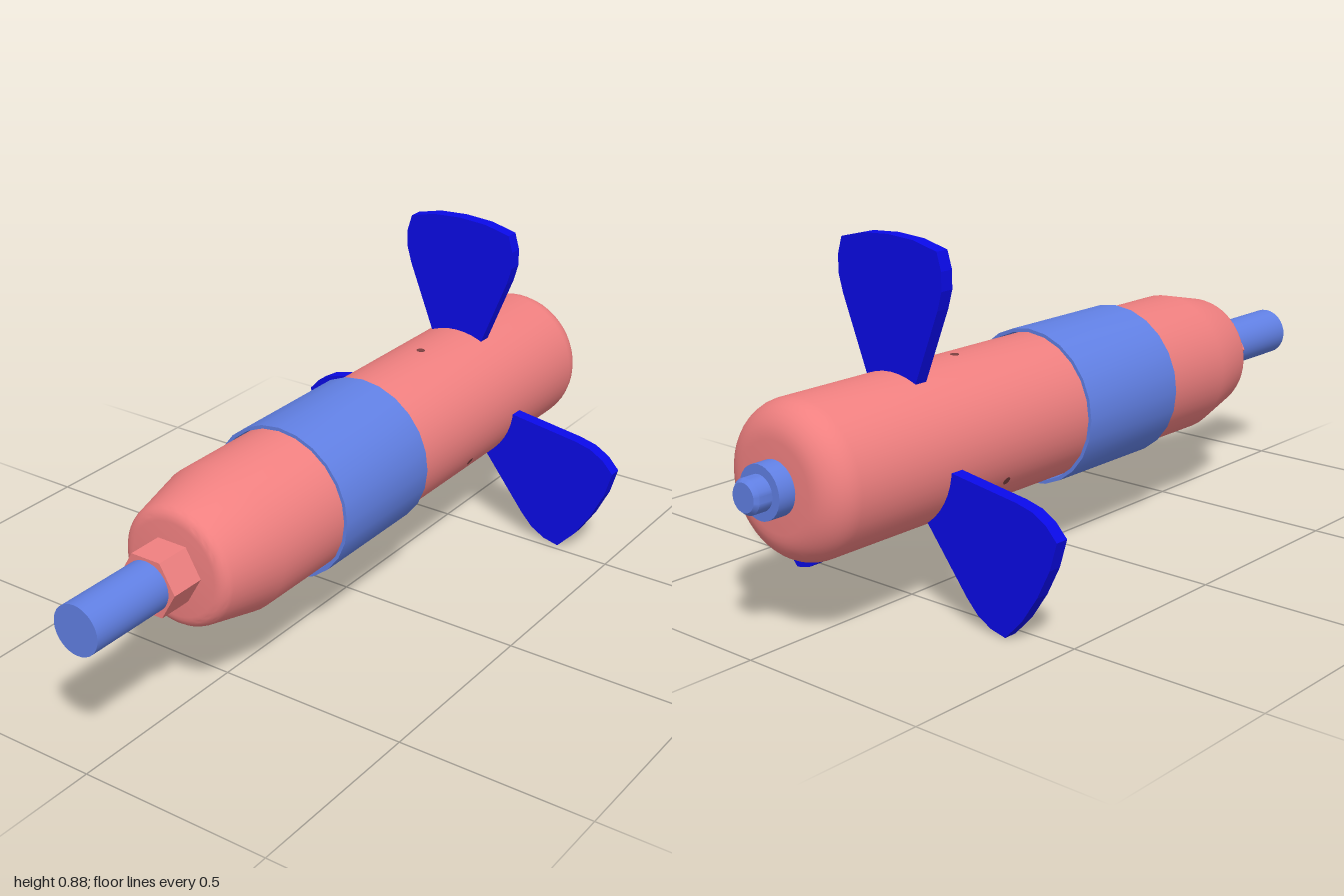
import * as THREE from 'three';
import { toCreasedNormals } from 'three/addons/utils/BufferGeometryUtils.js';

const AXIS_Y = 0.375;
const BODY_R = 0.187;
const material = (color) => new THREE.MeshStandardMaterial({ color });

export function createModel() {
  const model = new THREE.Group();
  const rotor = new THREE.Group();
  rotor.name = 'turbine';
  rotor.position.y = AXIS_Y;
  model.add(rotor);

  const coral = material(0xf08080);
  const blue = material(0x6180e4);
  const bladeBlue = material(0x0a0ae6);
  const holeDark = material(0x7a4040);

  const add = (name, geometry, mat) => {
    const mesh = new THREE.Mesh(geometry, mat);
    mesh.name = name;
    rotor.add(mesh);
    return mesh;
  };

  // Solid of revolution about the x axis from [x, radius] pairs
  const turned = (name, profile, mat, sides = 32) => {
    const points = profile.map(([x, r]) => new THREE.Vector2(r, x));
    const geometry = new THREE.LatheGeometry(points, sides).rotateZ(-Math.PI / 2);
    return add(name, toCreasedNormals(geometry, 0.45), mat);
  };

  // Rounded corner as [x, radius] pairs
  const fillet = (cx, cr, size, from, to, steps) =>
    Array.from({ length: steps + 1 }, (_, i) => {
      const a = from + ((to - from) * i) / steps;
      return [cx + size * Math.cos(a), cr + size * Math.sin(a)];
    });

  // Body: tapered rear shoulder, straight barrel, round nose
  turned('body', [
    [-0.68, 0],
    ...fillet(-0.645, 0.12, 0.035, Math.PI, Math.PI * 0.58, 5),
    [-0.51, BODY_R],
    ...fillet(0.83, BODY_R - 0.08, 0.08, Math.PI / 2, 0, 8),
    [0.91, 0],
  ], coral, 48);

  // Sleeve standing slightly clear of the barrel
  turned('sleeve', [
    [-0.28, 0.191], [-0.28, 0.2], [0.07, 0.2], [0.07, 0.191], [-0.28, 0.191],
  ], blue, 24);

  // Rear shaft and hexagonal nut
  turned('rearShaft', [[-1, 0], [-1, 0.063], [-0.76, 0.063], [-0.76, 0]], blue);
  const nut = new THREE.CylinderGeometry(0.081, 0.081, 0.09, 6)
    .rotateZ(-Math.PI / 2).translate(-0.725, 0, 0);
  add('hexNut', toCreasedNormals(nut, 0.3), coral);

  // Stepped front spindle
  turned('frontSpindle', [
    [0.9, 0], [0.9, 0.064], [0.955, 0.064], [0.955, 0.042],
    [0.99, 0.042], [1, 0.034], [1, 0],
  ], blue);

  // Fan blade outline: half-width and distance from the axis
  const half = [
    [0.074, 0.16], [0.078, 0.17], [0.15, 0.35], [0.163, 0.395],
    [0.163, 0.44], [0.15, 0.483], [0.08, 0.5],
  ];
  const outline = [
    ...half, [0, 0.505], ...half.map(([w, r]) => [-w, r]).reverse(),
  ].map(([w, r]) => new THREE.Vector2(w, r));
  const bladeGeometry = new THREE.ExtrudeGeometry(new THREE.Shape(outline), {
    depth: 0.035, bevelEnabled: false,
  }).rotateY(Math.PI / 2).translate(0.518, 0, 0);

  // Small vent hole in the barrel wall
  const holeGeometry = new THREE.CylinderGeometry(0.011, 0.011, 0.01, 12)
    .translate(0.34, BODY_R - 0.0045, 0);

  // Three blades, each with a vent hole in line behind it
  for (let i = 0; i < 3; i++) {
    const angle = (i * Math.PI * 2) / 3;
    add('blade' + (i + 1), bladeGeometry, bladeBlue).rotation.x = angle;
    add('ventHole' + (i + 1), holeGeometry, holeDark).rotation.x = angle;
  }

  return model;
}
